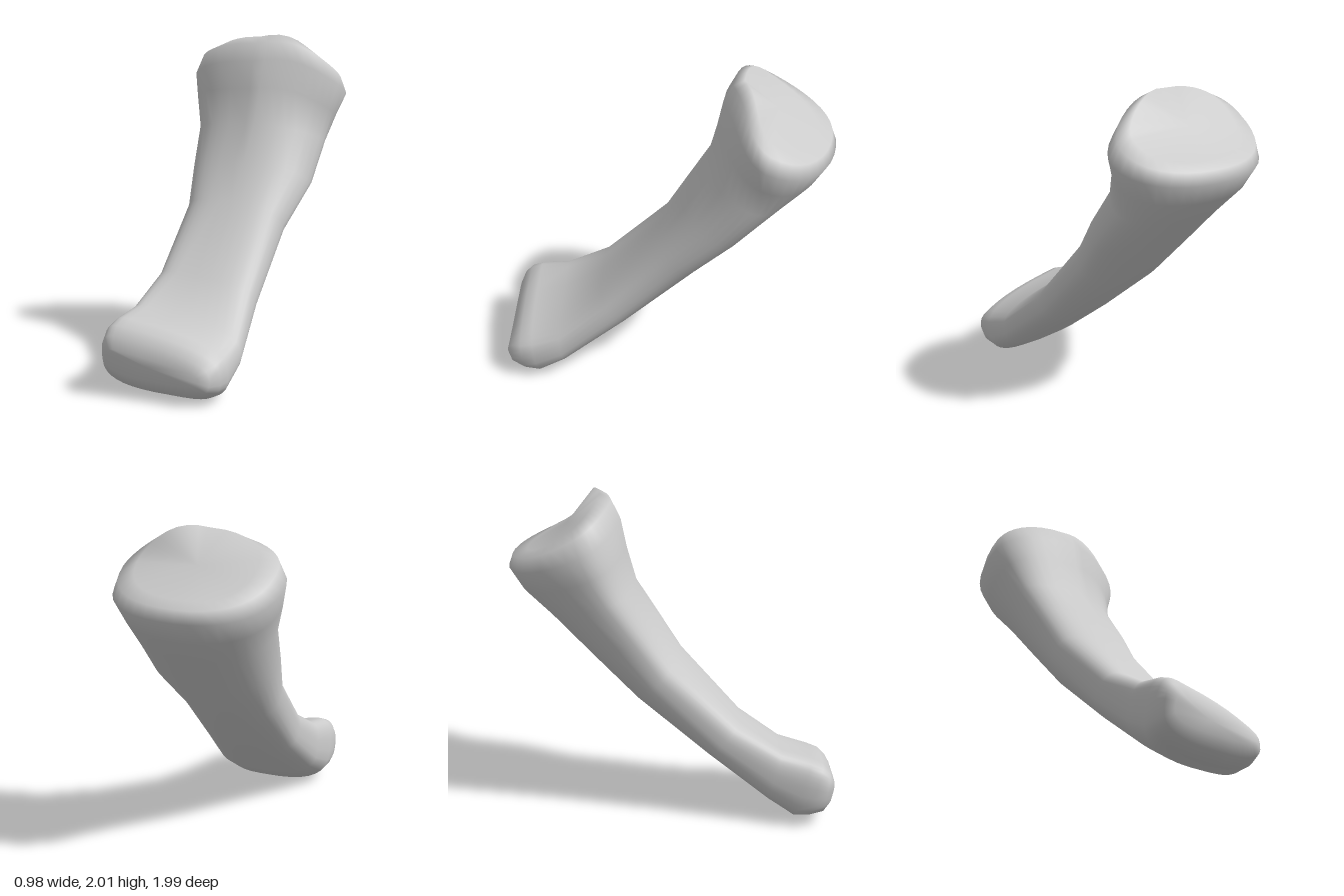
import * as THREE from 'three';

const SEGMENTS = 36;
const { lerp, smoothstep } = THREE.MathUtils;

// Main outline from the lower knuckle to the upper joint face:
// front point (z, y), back point (z, y), right and left edge (x)
const outline = [
  [0.995, 0.28, 0.965, 0.12, -0.22, 0.37],
  [0.965, 0.35, 0.925, 0.05, -0.265, 0.42],
  [0.92, 0.4, 0.83, 0.015, -0.28, 0.45],
  [0.85, 0.43, 0.74, 0.005, -0.28, 0.45],
  [0.67, 0.47, 0.58, 0.11, -0.26, 0.44],
  [0.41, 0.63, 0.2, 0.4, -0.25, 0.365],
  [0.03, 1.02, -0.23, 0.763, -0.29, 0.345],
  [-0.105, 1.24, -0.5, 1.04, -0.34, 0.41],
  [-0.24, 1.46, -0.75, 1.3, -0.385, 0.4],
  [-0.295, 1.68, -0.91, 1.46, -0.45, 0.435],
  [-0.33, 1.85, -0.99, 1.59, -0.49, 0.49],
  [-0.385, 1.96, -0.965, 1.66, -0.46, 0.45],
  [-0.45, 2, -0.88, 1.69, -0.36, 0.36],
];

// One cross-section, running from the front over the left to the back and round.
// Height decides how much it belongs to the knuckle, the upper shaft or the head.
function crossSection([frontZ, frontY, backZ, backY, right, left]) {
  const knuckle = 1 - smoothstep(frontY, 0.43, 0.9);
  const upper = smoothstep(frontY, 0.7, 1.4);
  const head = smoothstep(frontY, 1.4, 1.85);
  const points = [];
  for (let j = 0; j < SEGMENTS; j++) {
    const angle = (j / SEGMENTS) * Math.PI * 2;
    const c = Math.cos(angle), s = Math.sin(angle);
    const isFront = c >= 0, isLeft = s >= 0;
    // Quarter ovals meeting at the widest points, flattest at the left front of the shaft
    const frontSquareness = 2.5 + 0.4 * knuckle + (isLeft ? -0.7 : 0.4) * upper;
    const power = 2 / (isFront ? frontSquareness : 2.1 + 0.7 * knuckle);
    const across = Math.abs(s) ** power, along = Math.abs(c) ** power;
    const widest = isLeft ? 0.5 + 0.12 * upper - 0.17 * head : 0.5 - 0.15 * upper;
    const middle = isFront ? -0.03 - 0.11 * knuckle + 0.04 * upper : 0.2 * knuckle - 0.04 * upper;
    const x = lerp(middle, isLeft ? left : right, across);
    const depth = lerp(widest, isFront ? 0 : 1, along);
    // The knuckle leans down to the left, the head's sides sag and its left front is set back
    const lean = 0.15 * knuckle * (x + 0.14) * (1 - depth);
    const sag = 0.05 * head * across * across;
    const notch = isFront && isLeft ? head * Math.sin(Math.PI * across) : 0;
    points.push(
      x,
      lerp(frontY, backY, depth) - lean - sag + 0.03 * notch,
      lerp(frontZ, backZ, depth) - 0.6 * lean - 0.04 * notch,
    );
  }
  return points;
}

// Skin the cross-sections and close both ends with a centre point
function boneGeometry() {
  const positions = outline.flatMap(crossSection);
  const tip = positions.length / 3, cap = tip + 1;
  positions.push(0.04, 0.2, 0.965, -0.02, 1.83, -0.65);
  const lastRing = (outline.length - 1) * SEGMENTS;
  const indices = [];
  for (let j = 0; j < SEGMENTS; j++) {
    const k = (j + 1) % SEGMENTS;
    for (let ring = 0; ring < lastRing; ring += SEGMENTS) {
      const a = ring + j, b = ring + k, c = a + SEGMENTS, d = b + SEGMENTS;
      indices.push(a, b, c, b, d, c);
    }
    indices.push(tip, k, j, cap, lastRing + j, lastRing + k);
  }
  const geometry = new THREE.BufferGeometry();
  geometry.setAttribute('position', new THREE.Float32BufferAttribute(positions, 3));
  geometry.setIndex(indices);
  geometry.computeVertexNormals();
  return geometry;
}

export function createModel() {
  const group = new THREE.Group();
  group.name = 'fingerBone';
  const bone = new THREE.Mesh(boneGeometry(), new THREE.MeshStandardMaterial({ color: 0xcccccc }));
  bone.name = 'bone';
  group.add(bone);
  return group;
}
